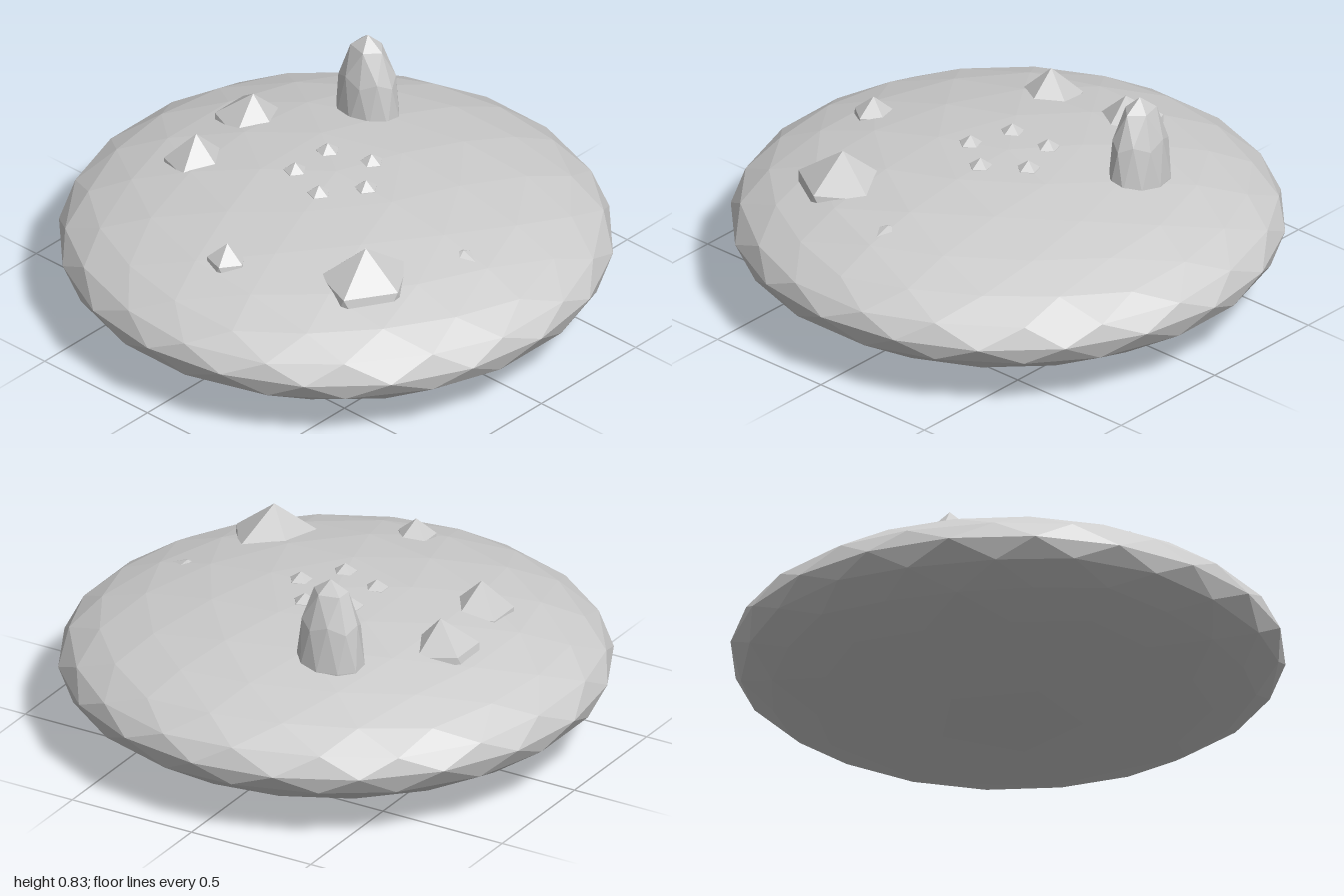
import * as THREE from 'three';

const stone = new THREE.MeshStandardMaterial({ color: 0xcccccc, flatShading: true });
stone.name = 'pale stone';

// Faceted ball with a vertex at each pole; every level splits each triangle in four
function facetedBall(levels) {
  const ico = new THREE.IcosahedronGeometry(1, 0);
  ico.rotateZ(-Math.atan(2 / (1 + Math.sqrt(5))));
  const p = ico.attributes.position;
  let points = [];
  for (let i = 0; i < p.count; i++) points.push(new THREE.Vector3().fromBufferAttribute(p, i));
  const mid = (a, b) => a.clone().add(b).normalize();
  for (let l = 0; l < levels; l++) {
    const next = [];
    for (let i = 0; i < points.length; i += 3) {
      const [a, b, c] = points.slice(i, i + 3);
      const ab = mid(a, b), bc = mid(b, c), ca = mid(c, a);
      next.push(a, ab, ca, ab, b, bc, ca, bc, c, ab, bc, ca);
    }
    points = next;
  }
  const geometry = new THREE.BufferGeometry().setFromPoints(points);
  geometry.computeVertexNormals();
  return geometry;
}

export function createModel() {
  const model = new THREE.Group();
  model.name = 'rockyDisc';

  const add = (name, geometry, position, scale, tilt = 0) => {
    const mesh = new THREE.Mesh(geometry, stone);
    mesh.name = name;
    mesh.position.set(...position);
    mesh.scale.set(...scale);
    mesh.rotation.z = tilt;
    model.add(mesh);
  };

  // Flattened body and the tall boulder on its back half
  add('body', facetedBall(2), [0, 0.277, 0], [1, 0.277, 1]);
  add('tallBoulder', facetedBall(1), [-0.235, 0.5, -0.425], [0.132, 0.33, 0.1]);

  // Five-sided rocks, sunk into the body
  const rock = facetedBall(0);
  add('leftFrontRock', rock, [-0.477, 0.41, 0.222], [0.13, 0.2, 0.13]);
  add('leftBackRock', rock, [-0.53, 0.41, -0.112], [0.145, 0.2, 0.143], -0.12);
  add('rightRock', rock, [0.48, 0.39, 0.365], [0.175, 0.22, 0.2]);
  add('frontRock', rock, [0.037, 0.445, 0.617], [0.082, 0.112, 0.082]);

  // Rocks that barely break the surface
  add('buriedRock', rock, [0.63, 0.437, 0.01], [0.1, 0.06, 0.1]);
  add('buriedTipRight', rock, [0.32, 0.47, -0.265], [0.04, 0.055, 0.04]);
  add('buriedTipBack', rock, [0.09, 0.462, -0.47], [0.04, 0.055, 0.04]);

  // Ring of small rocks round the middle
  for (let i = 0; i < 5; i++) {
    const angle = (i * Math.PI * 2) / 5;
    add('ringRock', rock, [0.147 * Math.cos(angle), 0.523, 0.147 * Math.sin(angle)], [0.048, 0.057, 0.048]);
  }
  return model;
}
